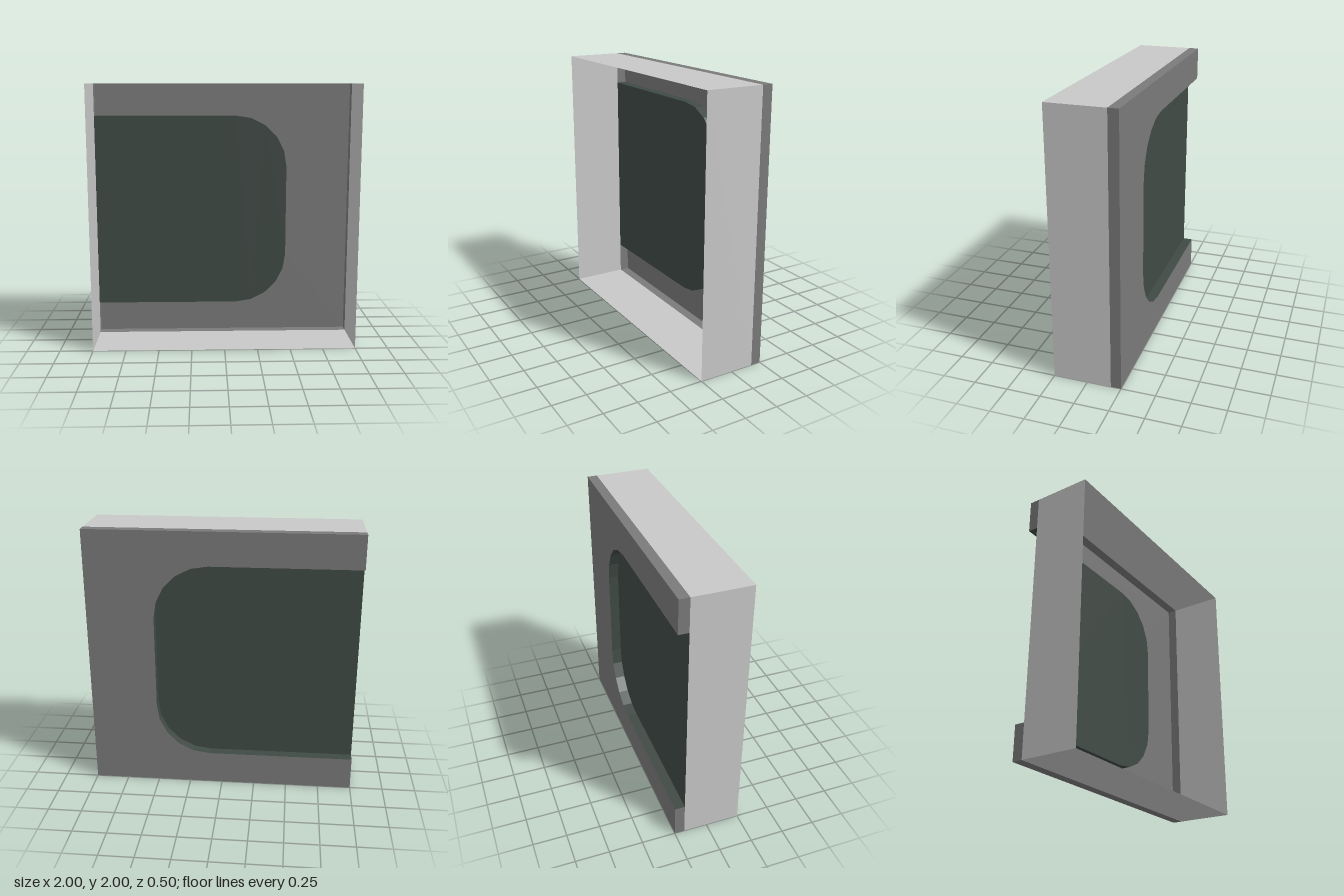
import * as THREE from 'three';

const FRONT = 0.25, STEP = -0.175, BACK = -0.25;

const material = (name, color) => {
  const m = new THREE.MeshStandardMaterial({ color, side: THREE.DoubleSide, flatShading: true });
  m.name = name;
  return m;
};

// Sheet swept along z from an outline that runs counterclockwise
function band(points, z0, z1) {
  const pos = [];
  for (let i = 0; i < points.length - 1; i++) {
    const a = points[i], b = points[i + 1];
    pos.push(a.x, a.y, z0, b.x, b.y, z0, b.x, b.y, z1);
    pos.push(a.x, a.y, z0, b.x, b.y, z1, a.x, a.y, z1);
  }
  const g = new THREE.BufferGeometry();
  g.setAttribute('position', new THREE.Float32BufferAttribute(pos, 3));
  g.computeVertexNormals();
  return g;
}

const flat = (points, z) => new THREE.ShapeGeometry(new THREE.Shape(points)).translate(0, 0, z);

export function createModel() {
  const group = new THREE.Group();
  const lightGrey = material('light grey', 0xc8c8c8);
  const darkGrey = material('dark grey', 0x7a7a7a);
  const darkGreen = material('dark green', 0x404a45);

  const add = (name, geometry, mat) => {
    const mesh = new THREE.Mesh(geometry, mat);
    mesh.name = name;
    group.add(mesh);
  };
  const v = (x, y) => new THREE.Vector2(x, y);

  // Recess outline: open at the -x edge, two rounded corners on the other side
  const recess = [v(-1, 0.25)];
  const corner = (cx, cy, start) => {
    for (let i = 0; i <= 5; i++) {
      const t = start + (i / 5) * Math.PI / 2;
      recess.push(v(cx + 0.4 * Math.cos(t), cy + 0.4 * Math.sin(t)));
    }
  };
  corner(0.1, 0.65, -Math.PI / 2);
  corner(0.1, 1.35, 0);
  recess.push(v(-1, 1.75));

  const square = [v(-1, 0), v(1, 0), v(1, 2), v(-1, 2)];
  const edge = [v(-1, 0.25), ...square, v(-1, 1.75)];

  // Open-fronted outer walls
  add('outerWalls', band([...square, square[0]], STEP, FRONT), lightGrey);

  // Rear frame, with its edge broken where the recess runs out
  add('rearFrameEdge', band(edge, BACK, STEP), darkGrey);
  add('rearFrame', flat([...square, ...recess.slice().reverse()], BACK), darkGrey);

  // Recessed panel and its rim
  add('recessRim', band(recess, BACK, STEP), darkGreen);
  add('recessPanel', flat(recess, STEP), darkGreen);

  return group;
}
